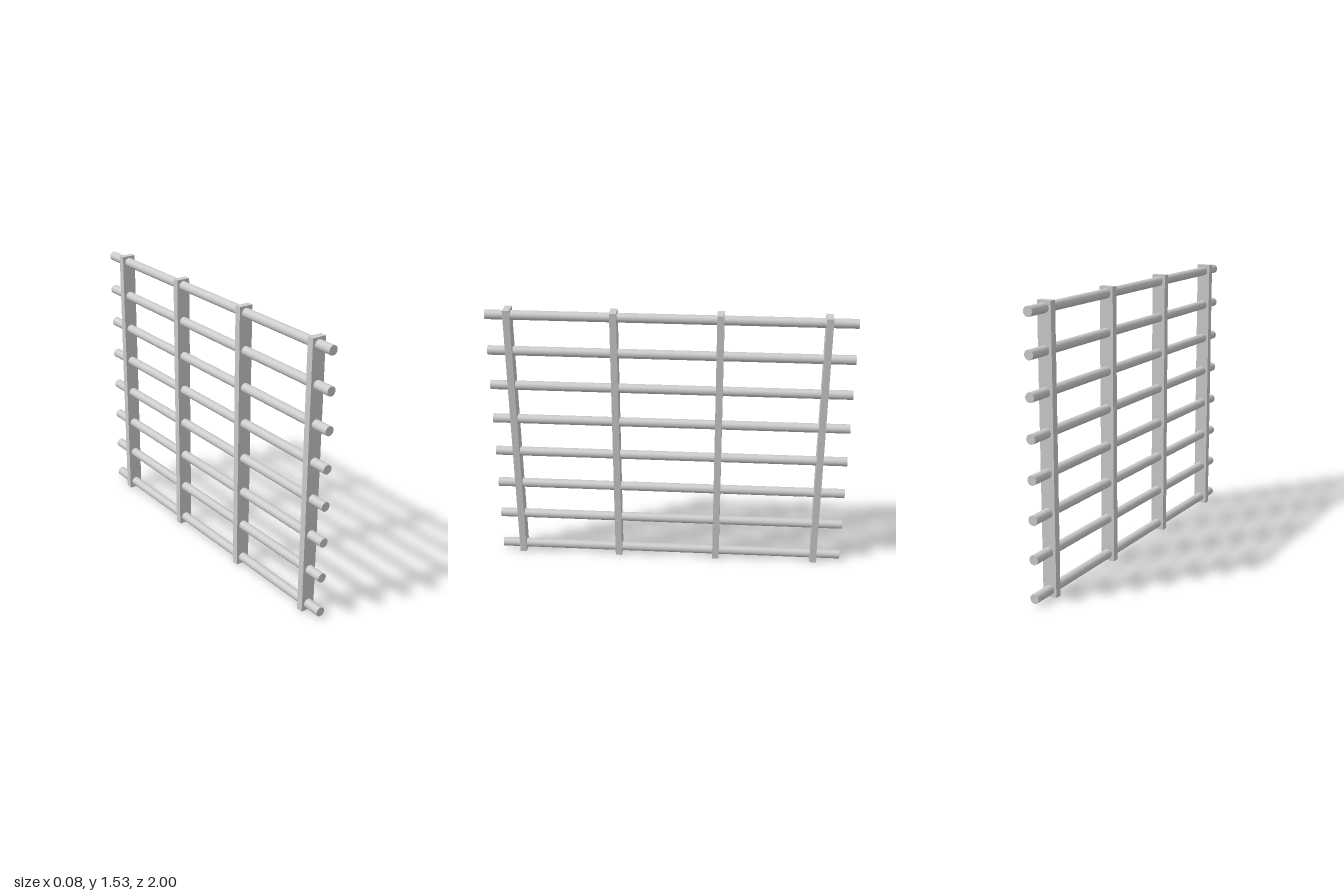
import * as THREE from 'three';

const HEIGHT = 1.535;
const ROD_COUNT = 8, ROD_RADIUS = 0.026, ROD_BOTTOM = 0.039, ROD_TOP = 1.498;
const SLAT_COUNT = 4, SLAT_FRONT = 0.879, SLAT_BACK = -0.845;

export function createModel() {
  const group = new THREE.Group();
  group.name = 'railing';
  const material = new THREE.MeshStandardMaterial({ color: 0xcccccc });

  // Horizontal round rods running front to back
  const rodGeometry = new THREE.CylinderGeometry(ROD_RADIUS, ROD_RADIUS, 2, 32).rotateX(Math.PI / 2);
  for (let i = 0; i < ROD_COUNT; i++) {
    const rod = new THREE.Mesh(rodGeometry, material);
    rod.name = `rod${i + 1}`;
    rod.position.y = THREE.MathUtils.lerp(ROD_BOTTOM, ROD_TOP, i / (ROD_COUNT - 1));
    group.add(rod);
  }

  // Upright flat slats that the rods pass through
  const slatGeometry = new THREE.BoxGeometry(0.08, HEIGHT, 0.038);
  for (let i = 0; i < SLAT_COUNT; i++) {
    const slat = new THREE.Mesh(slatGeometry, material);
    slat.name = `slat${i + 1}`;
    slat.position.set(0, HEIGHT / 2, THREE.MathUtils.lerp(SLAT_FRONT, SLAT_BACK, i / (SLAT_COUNT - 1)));
    group.add(slat);
  }
  return group;
}
